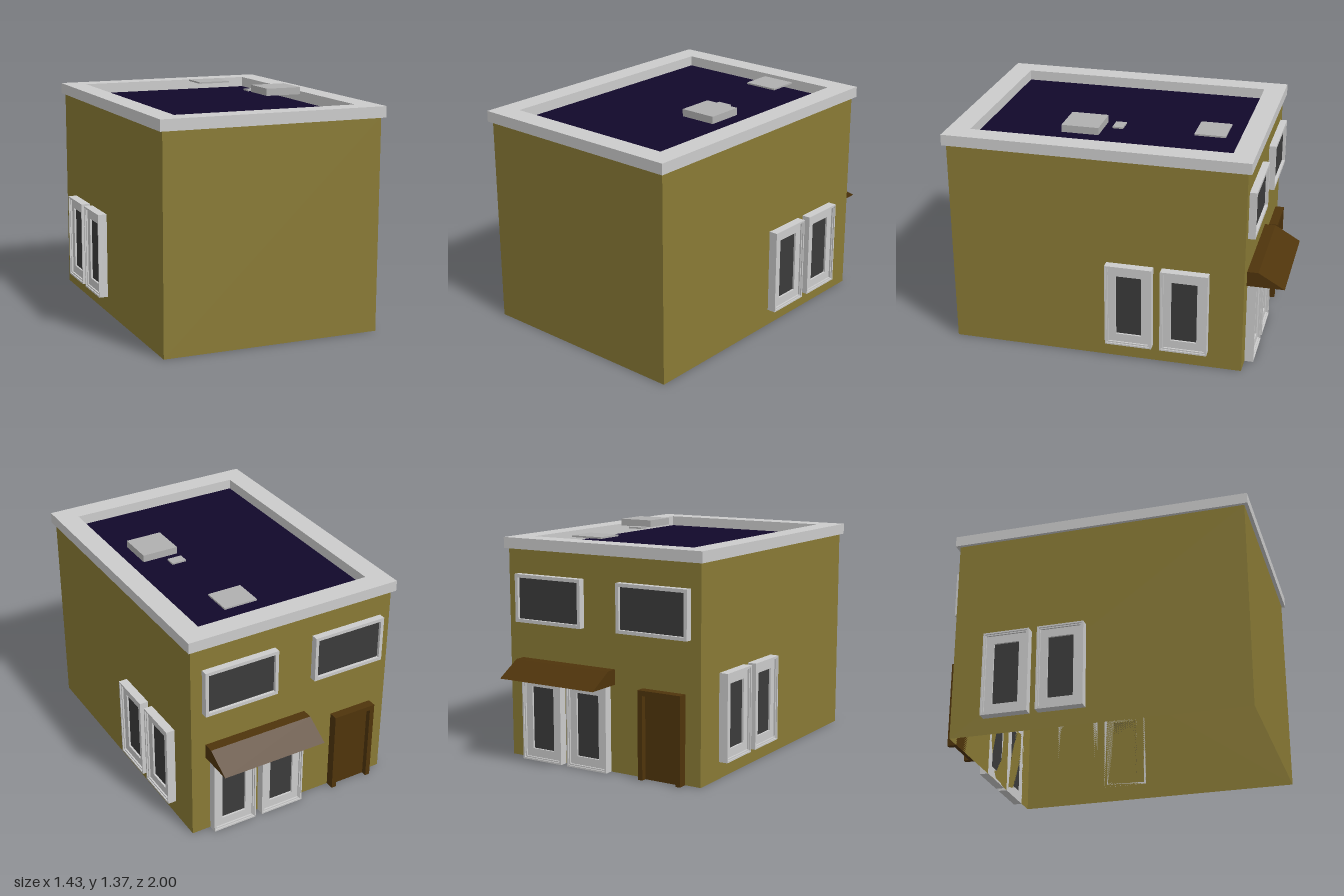
import * as THREE from 'three';

const mat = (color, side = THREE.FrontSide) =>
  new THREE.MeshStandardMaterial({ color, side });
const wallMat = mat(0x897a35, THREE.DoubleSide);
const trimMat = mat(0xcccccc);
const ventMat = mat(0xb0b0b0);
const glassMat = mat(0x3b3b3b);
const deckMat = mat(0x11082a, THREE.DoubleSide);
const woodMat = mat(0x4f340b);
const awningMat = mat(0x4f340b, THREE.DoubleSide);

// Box given by its lower and upper corners
function box(name, material, [x0, y0, z0], [x1, y1, z1]) {
  const mesh = new THREE.Mesh(new THREE.BoxGeometry(x1 - x0, y1 - y0, z1 - z0), material);
  mesh.position.set((x0 + x1) / 2, (y0 + y1) / 2, (z0 + z1) / 2);
  mesh.name = name;
  return mesh;
}

function rectPath(path, x0, y0, x1, y1) {
  path.moveTo(x0, y0);
  path.lineTo(x1, y0);
  path.lineTo(x1, y1);
  path.lineTo(x0, y1);
  path.closePath();
  return path;
}

// Rectangular ring from outer and inner [x0, y0, x1, y1], extruded along z
function ring(name, material, outer, inner, depth) {
  const shape = rectPath(new THREE.Shape(), ...outer);
  shape.holes.push(rectPath(new THREE.Path(), ...inner));
  const geo = new THREE.ExtrudeGeometry(shape, { depth, bevelEnabled: false });
  const mesh = new THREE.Mesh(geo, material);
  mesh.name = name;
  return mesh;
}

// Tall window: stepped rim, recessed sash and sunken pane; faces +z, base at y = 0
function tallWindow(name, depth) {
  const g = new THREE.Group();
  g.name = name;
  const inset = (d) => [-0.14 + d, d, 0.14 - d, 0.515 - d];
  const pane = [-0.077, 0.068, 0.077, 0.447];
  g.add(ring('windowRim', trimMat, inset(0), inset(0.01), depth));
  g.add(ring('windowStep', trimMat, inset(0.01), inset(0.018), depth - 0.008));
  g.add(ring('windowSash', trimMat, inset(0.018), pane, depth - 0.018));
  g.add(box('windowPane', glassMat, [pane[0], pane[1], 0], [pane[2], pane[3], depth - 0.03]));
  return g;
}

// Wide upper window: thin rim around one pane
function wideWindow(name) {
  const g = new THREE.Group();
  g.name = name;
  const w = 0.234, h = 0.285, r = 0.02;
  g.add(ring('windowRim', trimMat, [-w, 0, w, h], [-w + r, r, w - r, h - r], 0.042));
  g.add(box('windowPane', glassMat, [-w + r, r, 0], [w - r, h - r, 0.024]));
  return g;
}

function place(obj, x, y, z, turn) {
  obj.position.set(x, y, z);
  obj.rotation.y = turn;
  return obj;
}

// Entrance door: post-and-lintel frame around a recessed panel
function entranceDoor() {
  const g = new THREE.Group();
  g.name = 'entranceDoor';
  const w = 0.14, h = 0.52, t = 0.03;
  g.add(box('doorPostLeft', woodMat, [-w, 0, 0], [-w + t, h, 0.055]));
  g.add(box('doorPostRight', woodMat, [w - t, 0, 0], [w, h, 0.055]));
  g.add(box('doorLintel', woodMat, [-w + t, h - t, 0], [w - t, h, 0.055]));
  g.add(box('doorPanel', woodMat, [-w + t, 0, 0], [w - t, h - t, 0.022]));
  return g;
}

// Awning: folded sheet with closed ends, open underneath
function awning(x0, x1) {
  const g = new THREE.Group();
  g.name = 'awning';
  const profile = [[0, 0], [0, 0.09], [0.065, 0.09], [0.22, 0]];
  const side = new THREE.Shape(profile.map(([z, y]) => new THREE.Vector2(z, y)));
  for (const x of [x0, x1]) {
    const end = new THREE.Mesh(new THREE.ShapeGeometry(side), awningMat);
    end.name = 'awningEnd';
    end.rotation.y = Math.PI / 2;
    end.position.x = x;
    g.add(end);
  }
  for (let i = 1; i < 3; i++) {
    const [za, ya] = profile[i], [zb, yb] = profile[i + 1];
    const sheet = new THREE.Mesh(
      new THREE.PlaneGeometry(x1 - x0, Math.hypot(zb - za, yb - ya)), awningMat);
    sheet.name = i === 1 ? 'awningTop' : 'awningSlope';
    sheet.position.set((x0 + x1) / 2, (ya + yb) / 2, -(za + zb) / 2);
    // upward-facing, tilted down toward the back
    sheet.rotation.x = -Math.PI / 2 - Math.atan2(ya - yb, zb - za);
    g.add(sheet);
  }
  return g;
}

// Thin outer walls, open at the bottom
function walls() {
  const g = new THREE.Group();
  g.name = 'walls';
  const w = 1.32, h = 1.258, back = -0.78, front = 0.978;
  const sides = [
    ['frontWall', w, 0, front, 0],
    ['backWall', w, 0, back, Math.PI],
    ['leftWall', front - back, w / 2, (front + back) / 2, Math.PI / 2],
    ['rightWall', front - back, -w / 2, (front + back) / 2, -Math.PI / 2],
  ];
  for (const [name, width, x, z, turn] of sides) {
    const wall = new THREE.Mesh(new THREE.PlaneGeometry(width, h), wallMat);
    wall.name = name;
    g.add(place(wall, x, h / 2, z, turn));
  }
  return g;
}

export function createModel() {
  const house = new THREE.Group();
  house.name = 'building';

  // Walls and roof
  house.add(walls());
  const deck = new THREE.Mesh(new THREE.PlaneGeometry(1.1, 1.543), deckMat);
  deck.name = 'roofDeck';
  deck.rotation.x = -Math.PI / 2;
  deck.position.set(0, 1.258, 0.0965);
  house.add(deck);
  const parapet = ring('parapet', trimMat,
    [-0.68, -1, 0.68, 0.803], [-0.55, -0.868, 0.55, 0.675], 0.065);
  parapet.rotation.x = -Math.PI / 2;
  parapet.position.y = 1.255;
  house.add(parapet);

  // Roof vents
  house.add(box('largeVent', ventMat, [0.25, 1.322, 0.12], [0.472, 1.365, 0.34]));
  house.add(box('smallVent', ventMat, [0.25, 1.32, 0.01], [0.34, 1.33, 0.073]));
  house.add(box('roofHatch', ventMat, [0.13, 1.32, -0.593], [0.338, 1.33, -0.41]));

  // Side windows, a pair on each wall
  for (const z of [-0.11, -0.44]) {
    house.add(place(tallWindow('leftSideWindow', 0.053), 0.66, 0.1, z, Math.PI / 2));
    house.add(place(tallWindow('rightSideWindow', 0.055), -0.66, 0.1, z, -Math.PI / 2));
  }

  // Back wall: glazed doors, awning, upper windows and entrance
  for (const x of [0.08, 0.403]) {
    house.add(place(tallWindow('glazedDoor', 0.053), x, 0, -0.78, Math.PI));
  }
  house.add(place(awning(-0.09, 0.57), 0, 0.517, -0.78, 0));
  for (const x of [-0.36, 0.355]) {
    house.add(place(wideWindow('upperWindow'), x, 0.825, -0.78, Math.PI));
  }
  house.add(place(entranceDoor(), -0.42, 0, -0.78, Math.PI));
  return house;
}
